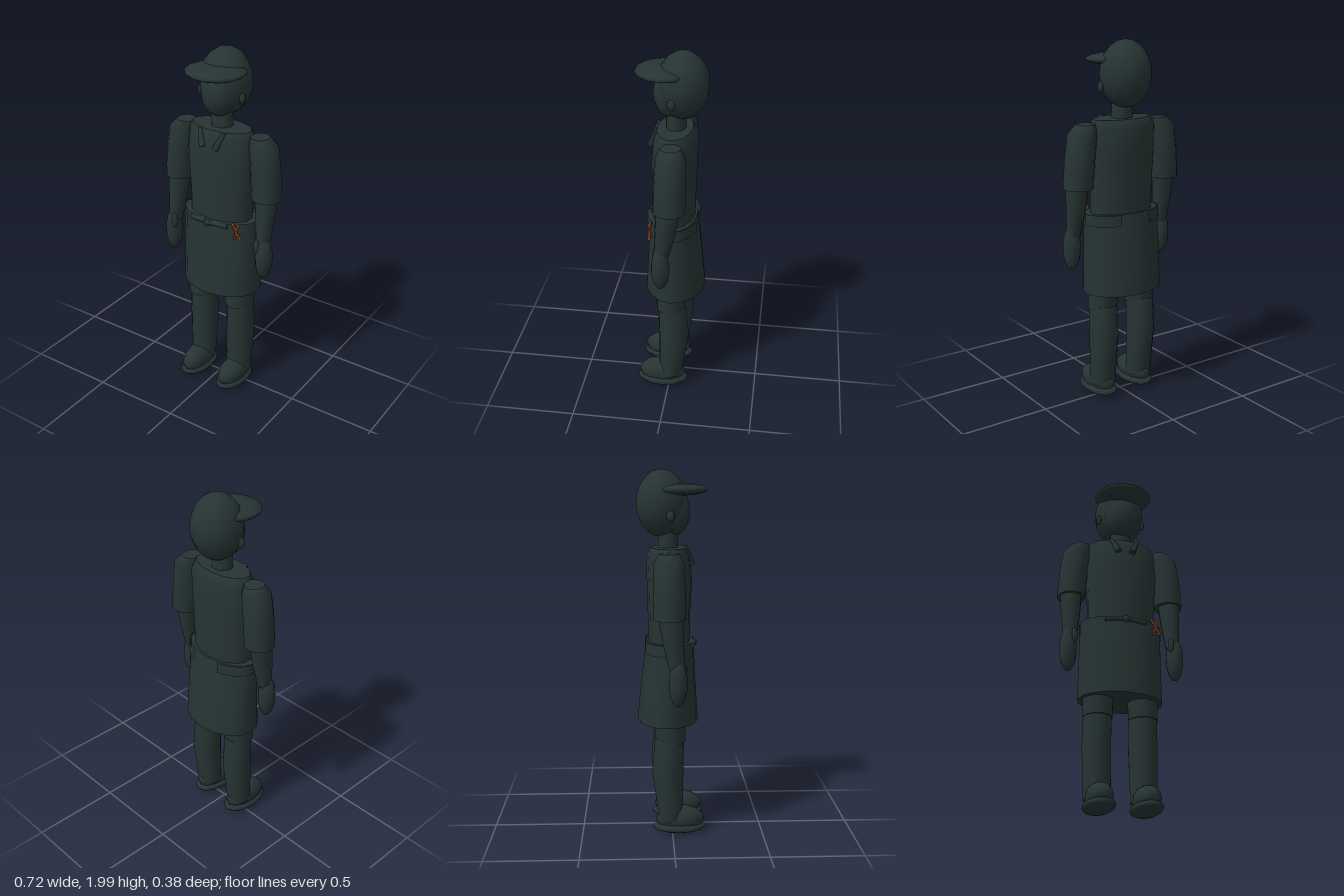
import * as THREE from 'three';

const dark = new THREE.MeshStandardMaterial({ color: 0x263433 });
dark.name = 'dark green';
const darkOpen = new THREE.MeshStandardMaterial({ color: 0x263433, side: THREE.DoubleSide });
darkOpen.name = 'dark green';
const brown = new THREE.MeshStandardMaterial({ color: 0x8c4f20 });
brown.name = 'copper brown';

// Lofted body from rings [y, cx, cz, rx, rz], listed from bottom to top, with flat caps
function loft(rings, n = 14) {
  const pos = [], idx = [];
  const addRing = ([y, cx, cz, rx, rz]) => {
    const start = pos.length / 3;
    for (let i = 0; i < n; i++) {
      const a = (i / n) * Math.PI * 2;
      pos.push(cx + Math.sin(a) * rx, y, cz + Math.cos(a) * rz);
    }
    return start;
  };
  const starts = rings.map(addRing);
  for (let r = 0; r < rings.length - 1; r++) {
    for (let i = 0; i < n; i++) {
      const j = (i + 1) % n, a = starts[r] + i, b = starts[r] + j;
      const c = starts[r + 1] + i, d = starts[r + 1] + j;
      idx.push(a, b, d, a, d, c);
    }
  }
  const bottom = addRing(rings[0]), top = addRing(rings[rings.length - 1]);
  for (let i = 1; i < n - 1; i++) {
    idx.push(bottom, bottom + i + 1, bottom + i, top, top + i, top + i + 1);
  }
  const g = new THREE.BufferGeometry();
  g.setAttribute('position', new THREE.Float32BufferAttribute(pos, 3));
  g.setIndex(idx);
  g.computeVertexNormals();
  return g;
}

export function createModel() {
  const model = new THREE.Group();
  model.name = 'workerFigure';

  const add = (name, geometry, material = dark) => {
    const mesh = new THREE.Mesh(geometry, material);
    mesh.name = name;
    model.add(mesh);
    return mesh;
  };
  const ellipsoid = (name, x, y, z, rx, ry, rz, material = dark, w = 14, h = 10) => {
    const mesh = add(name, new THREE.SphereGeometry(1, w, h), material);
    mesh.position.set(x, y, z);
    mesh.scale.set(rx, ry, rz);
    return mesh;
  };
  const rod = (name, from, to, r0, r1) => {
    const a = new THREE.Vector3(...from), b = new THREE.Vector3(...to);
    const mesh = add(name, new THREE.CylinderGeometry(r1, r0, a.distanceTo(b), 8));
    mesh.position.copy(a).lerp(b, 0.5);
    mesh.quaternion.setFromUnitVectors(new THREE.Vector3(0, 1, 0), b.clone().sub(a).normalize());
    return mesh;
  };

  // Head, face, cap brim and neck
  ellipsoid('head', 0, 1.82, -0.055, 0.142, 0.18, 0.14);
  ellipsoid('face', 0, 1.775, 0.01, 0.102, 0.13, 0.09);
  ellipsoid('capBrim', 0, 1.893, 0.04, 0.165, 0.034, 0.157);
  add('neck', loft([[1.55, 0, -0.02, 0.06, 0.055], [1.68, 0, -0.02, 0.057, 0.052]], 12));

  // Shirt
  add('torso', loft([
    [1.0, 0, -0.012, 0.19, 0.115],
    [1.2, 0, -0.015, 0.192, 0.115],
    [1.4, 0, -0.012, 0.205, 0.123],
    [1.54, 0, -0.02, 0.2, 0.12],
    [1.585, 0, -0.015, 0.18, 0.095],
  ]));

  // Apron skirt, tie and knot
  add('apronSkirt', loft([
    [0.63, 0, -0.022, 0.235, 0.168],
    [0.85, 0, -0.018, 0.232, 0.15],
    [1.078, 0, -0.01, 0.228, 0.13],
  ], 16));
  for (const s of [-1, 1]) {
    rod('apronTie', [s * 0.015, 1.068, 0.12], [s * 0.115, 1.062, 0.105], 0.014, 0.014);
  }
  ellipsoid('apronKnot', 0, 1.065, 0.125, 0.022, 0.02, 0.014, dark, 8, 6);

  // Twisted cord hanging from the tie
  for (let i = 0; i < 9; i++) {
    for (const s of [-1, 1]) {
      const x = 0.165 + i * 0.0015 + s * (0.008 + 0.007 * Math.cos(i * 0.8));
      ellipsoid('cordBead', x, 1.085 - i * 0.01, 0.1, 0.008, 0.008, 0.009, brown, 6, 5);
    }
  }

  for (const s of [-1, 1]) {
    ellipsoid('ear', s * 0.13, 1.755, -0.01, 0.014, 0.03, 0.022, dark, 8, 6);
    rod('collarTab', [s * 0.04, 1.495, 0.108], [s * 0.075, 1.585, 0.075], 0.018, 0.011);

    // Waistband piece wrapping from the side to the open back
    const start = s > 0 ? Math.PI / 2 : Math.PI + 0.4;
    const band = add('waistband', new THREE.CylinderGeometry(1, 1.01, 0.062, 8, 1, true,
      start, Math.PI / 2 - 0.4), darkOpen);
    band.position.set(0, 1.05, -0.01);
    band.scale.set(0.232, 1, 0.147);

    // Arm: sleeve, forearm, hand and thumb
    add('sleeve', loft([
      [1.23, s * 0.282, -0.02, 0.08, 0.085],
      [1.38, s * 0.272, -0.022, 0.08, 0.085],
      [1.52, s * 0.256, -0.024, 0.078, 0.08],
      [1.568, s * 0.235, -0.022, 0.052, 0.055],
    ], 12));
    add('forearm', loft([
      [0.96, s * 0.29, 0.02, 0.036, 0.04],
      [1.1, s * 0.287, 0, 0.052, 0.055],
      [1.26, s * 0.284, -0.018, 0.062, 0.066],
    ], 12));
    ellipsoid('hand', s * 0.3, 0.895, 0.024, 0.048, 0.127, 0.05, dark, 12, 10);
    ellipsoid('thumb', s * 0.272, 0.965, 0.055, 0.018, 0.045, 0.018, dark, 8, 6);

    // Leg: shorts hem, lower leg and shoe
    add('shortsLeg', loft([
      [0.53, s * 0.125, -0.01, 0.081, 0.082],
      [0.72, s * 0.122, -0.016, 0.086, 0.09],
    ], 12));
    add('lowerLeg', loft([
      [0.08, s * 0.125, -0.01, 0.073, 0.066],
      [0.2, s * 0.125, -0.015, 0.076, 0.075],
      [0.36, s * 0.126, -0.026, 0.079, 0.086],
      [0.55, s * 0.125, -0.016, 0.078, 0.08],
    ], 12));
    ellipsoid('shoe', s * 0.125, 0.085, 0.042, 0.072, 0.075, 0.135, dark, 12, 8);
    ellipsoid('shoeSole', s * 0.125, 0.04, 0.038, 0.085, 0.034, 0.148, dark, 12, 8);
  }

  // Set the soles on the ground
  for (const part of model.children) part.position.y -= 0.003;
  return model;
}
